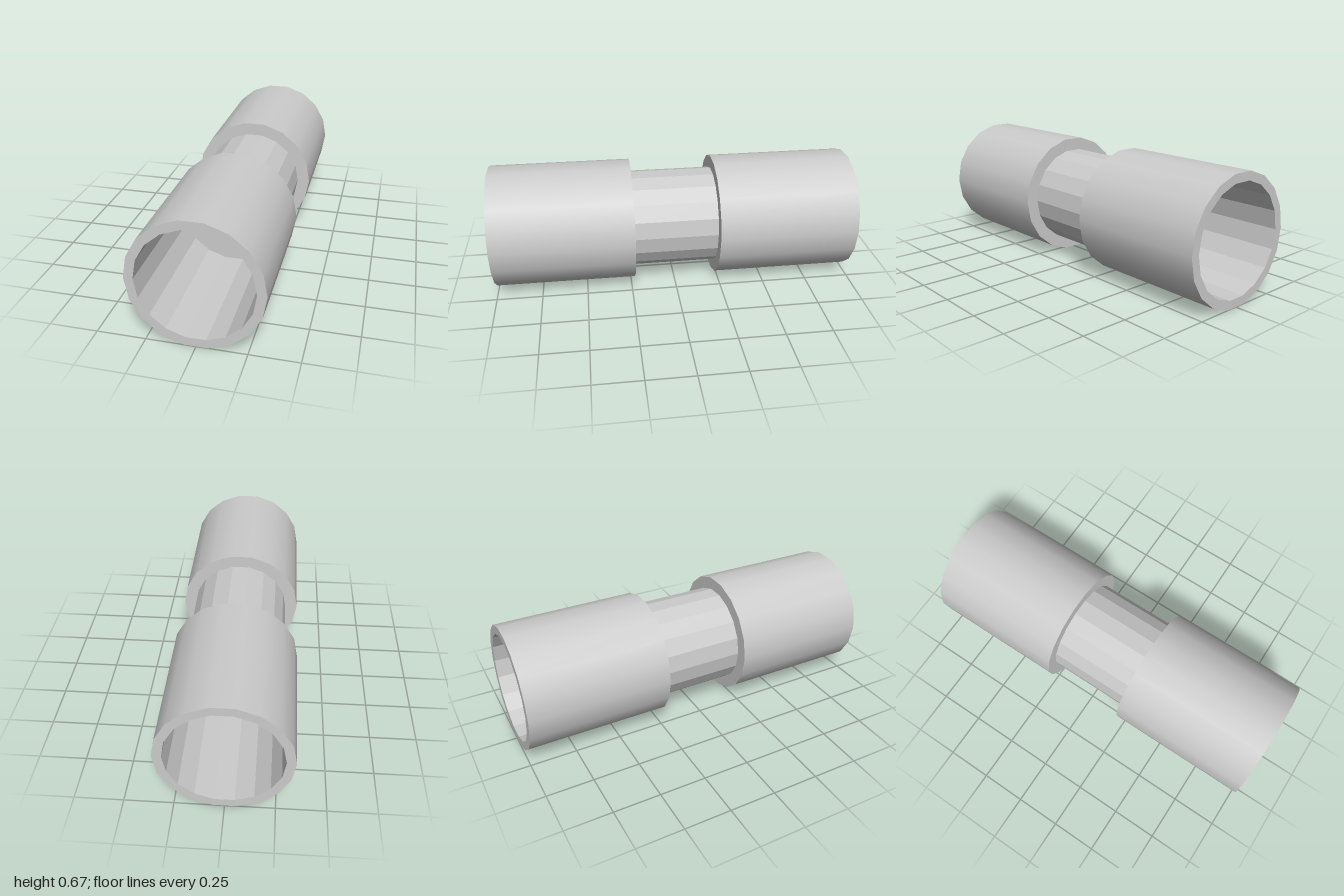
import * as THREE from 'three';

const SIDES = 18;
const OUTER = 0.338, BORE = 0.291, NECK = 0.269;
const END = 1, SHOULDER = 0.23, FLOOR = 0.27;

const smooth = new THREE.MeshStandardMaterial({ color: 0xcccccc });
const flat = new THREE.MeshStandardMaterial({ color: 0xcccccc, flatShading: true });

// Revolve [radius, z] points around the z axis, with corners on the x axis
function revolve(name, points, material) {
  const profile = points.map(([r, z]) => new THREE.Vector2(r, z));
  const geometry = new THREE.LatheGeometry(profile, SIDES, Math.PI / 2);
  geometry.rotateX(Math.PI / 2);
  const mesh = new THREE.Mesh(geometry, material);
  mesh.name = name;
  return mesh;
}

// One wide sleeve: smooth outside, faceted blind bore, flat shoulder
function createSleeve(name) {
  const sleeve = new THREE.Group();
  sleeve.name = name;
  sleeve.add(
    revolve('sleeveWall', [[OUTER, SHOULDER], [OUTER, END]], smooth),
    revolve('rimAndBore', [[OUTER, END], [BORE, END], [BORE, FLOOR], [0, FLOOR]], flat),
    revolve('shoulder', [[NECK, SHOULDER], [OUTER, SHOULDER]], flat)
  );
  return sleeve;
}

export function createModel() {
  const model = new THREE.Group();
  model.name = 'pipeCoupling';

  const front = createSleeve('frontSleeve');
  const back = createSleeve('backSleeve');
  back.rotation.y = Math.PI;

  // Narrow faceted neck joining the two sleeves
  const neck = revolve('neck', [[NECK, -SHOULDER], [NECK, SHOULDER]], flat);

  model.add(front, back, neck);
  model.position.y = OUTER * Math.cos(Math.PI / SIDES);
  return model;
}
